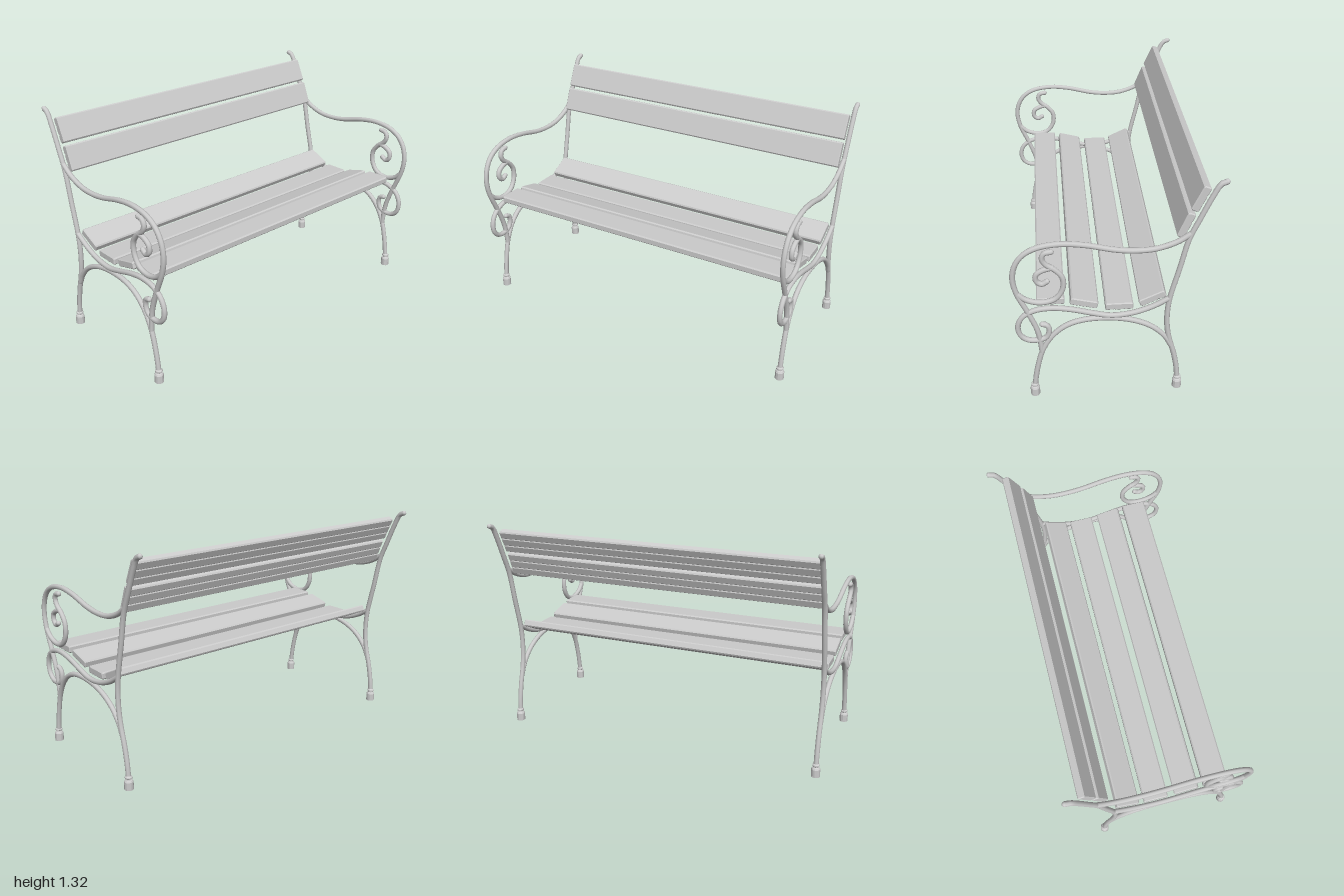
import * as THREE from 'three';

const material = new THREE.MeshStandardMaterial({ color: 0xcccccc });
const TUBE = 0.0148;
const SIDE_X = 0.974;

// Iron bars of one side frame, as [z, y] points
const BARS = {
  backPost: [[-0.53, 1.308], [-0.502, 1.296], [-0.465, 1.228], [-0.41, 1.1], [-0.365, 0.99], [-0.325, 0.81],
    [-0.282, 0.62], [-0.273, 0.53], [-0.275, 0.44], [-0.288, 0.355], [-0.32, 0.237], [-0.338, 0.14], [-0.346, 0.05]],
  armrest: [[-0.375, 1.02], [-0.31, 0.975], [-0.206, 0.938], [-0.105, 0.93], [0, 0.94], [0.16, 0.977], [0.283, 0.989],
    [0.398, 0.971], [0.468, 0.93], [0.51, 0.866], [0.524, 0.785], [0.508, 0.695], [0.457, 0.572], [0.412, 0.45],
    [0.398, 0.37], [0.392, 0.3]],
  armScroll: [[0.508, 0.695], [0.465, 0.655], [0.39, 0.632], [0.315, 0.65], [0.273, 0.712], [0.273, 0.785],
    [0.31, 0.835], [0.355, 0.87], [0.372, 0.905], [0.36, 0.937], [0.325, 0.945]],
  armCurl: [[0.325, 0.848], [0.37, 0.835], [0.404, 0.81], [0.405, 0.77], [0.378, 0.75], [0.35, 0.765]],
  frontLegAndArch: [[0.44, 0.05], [0.432, 0.12], [0.418, 0.2], [0.388, 0.31], [0.335, 0.405], [0.26, 0.472], [0.16, 0.506],
    [0, 0.506], [-0.115, 0.478], [-0.205, 0.428], [-0.27, 0.358], [-0.3, 0.3]],
  seatRail: [[-0.28, 0.622], [-0.206, 0.578], [-0.1, 0.538], [0.02, 0.525], [0.126, 0.548], [0.23, 0.577], [0.335, 0.592],
    [0.425, 0.58], [0.486, 0.541], [0.512, 0.482], [0.502, 0.422], [0.465, 0.388], [0.412, 0.382], [0.365, 0.4],
    [0.349, 0.445], [0.36, 0.48], [0.385, 0.487]],
};

// Slats: [name, z, y, tilt]
const SLATS = [
  ['seatSlat', 0.338, 0.622, 0],
  ['seatSlat', 0.163, 0.598, -0.25],
  ['seatSlat', -0.021, 0.567, 0],
  ['seatSlat', -0.195, 0.608, 0.44],
  ['backSlat', -0.349, 1.055, 1.19],
  ['backSlat', -0.415, 1.204, 1.14],
];

function mesh(name, geometry) {
  const m = new THREE.Mesh(geometry, material);
  m.name = name;
  return m;
}

// Round bar following a curve, with rounded tips
function bar(name, points) {
  const path = points.map(([z, y]) => new THREE.Vector3(0, y, z));
  const curve = new THREE.CatmullRomCurve3(path, false, 'centripetal');
  const group = new THREE.Group();
  group.name = name;
  group.add(mesh(name + 'Bar', new THREE.TubeGeometry(curve, points.length * 4, TUBE, 8)));
  for (const end of [path[0], path[path.length - 1]]) {
    const tip = mesh(name + 'Tip', new THREE.SphereGeometry(TUBE, 8, 6));
    tip.position.copy(end);
    group.add(tip);
  }
  return group;
}

// Cast foot with a collar ring
function foot(z) {
  const profile = [[0, 0], [0.026, 0], [0.026, 0.046], [0.021, 0.055], [0.016, 0.058], [0.016, 0.062],
    [0.021, 0.066], [0.021, 0.073], [0.014, 0.08]].map(([r, y]) => new THREE.Vector2(r, y));
  const geometry = new THREE.LatheGeometry(profile, 12).toNonIndexed();
  geometry.computeVertexNormals();
  const m = mesh('foot', geometry);
  m.position.z = z;
  return m;
}

function sideFrame(x) {
  const group = new THREE.Group();
  group.name = x > 0 ? 'leftFrame' : 'rightFrame';
  for (const [name, points] of Object.entries(BARS)) group.add(bar(name, points));
  group.add(foot(0.44), foot(-0.346));
  group.position.x = x;
  return group;
}

// Chamfered plank with two shallow grooves on its underside
function slatGeometry() {
  const w = 0.0735, h = 0.021, c = 0.007, g = 0.005;
  const shape = new THREE.Shape();
  shape.moveTo(-w, -h + c);
  shape.lineTo(-w + c, -h);
  for (const u of [-0.025, 0.025]) {
    shape.lineTo(u - g, -h);
    shape.lineTo(u, -h + 0.004);
    shape.lineTo(u + g, -h);
  }
  shape.lineTo(w - c, -h);
  shape.lineTo(w, -h + c);
  shape.lineTo(w, h - c);
  shape.lineTo(w - c, h);
  shape.lineTo(-w + c, h);
  shape.lineTo(-w, h - c);
  shape.closePath();
  const bevel = 0.005, length = 1.92;
  const geometry = new THREE.ExtrudeGeometry(shape, {
    depth: length - 2 * bevel, bevelThickness: bevel, bevelSize: bevel, bevelOffset: -bevel, bevelSegments: 1,
  });
  geometry.translate(0, 0, -length / 2 + bevel);
  geometry.rotateY(Math.PI / 2);
  return geometry;
}

export function createModel() {
  const bench = new THREE.Group();
  bench.name = 'bench';
  bench.add(sideFrame(SIDE_X), sideFrame(-SIDE_X));
  const plank = slatGeometry();
  for (const [name, z, y, tilt] of SLATS) {
    const slat = mesh(name, plank);
    slat.position.set(0, y, z);
    slat.rotation.x = tilt;
    bench.add(slat);
  }
  return bench;
}
